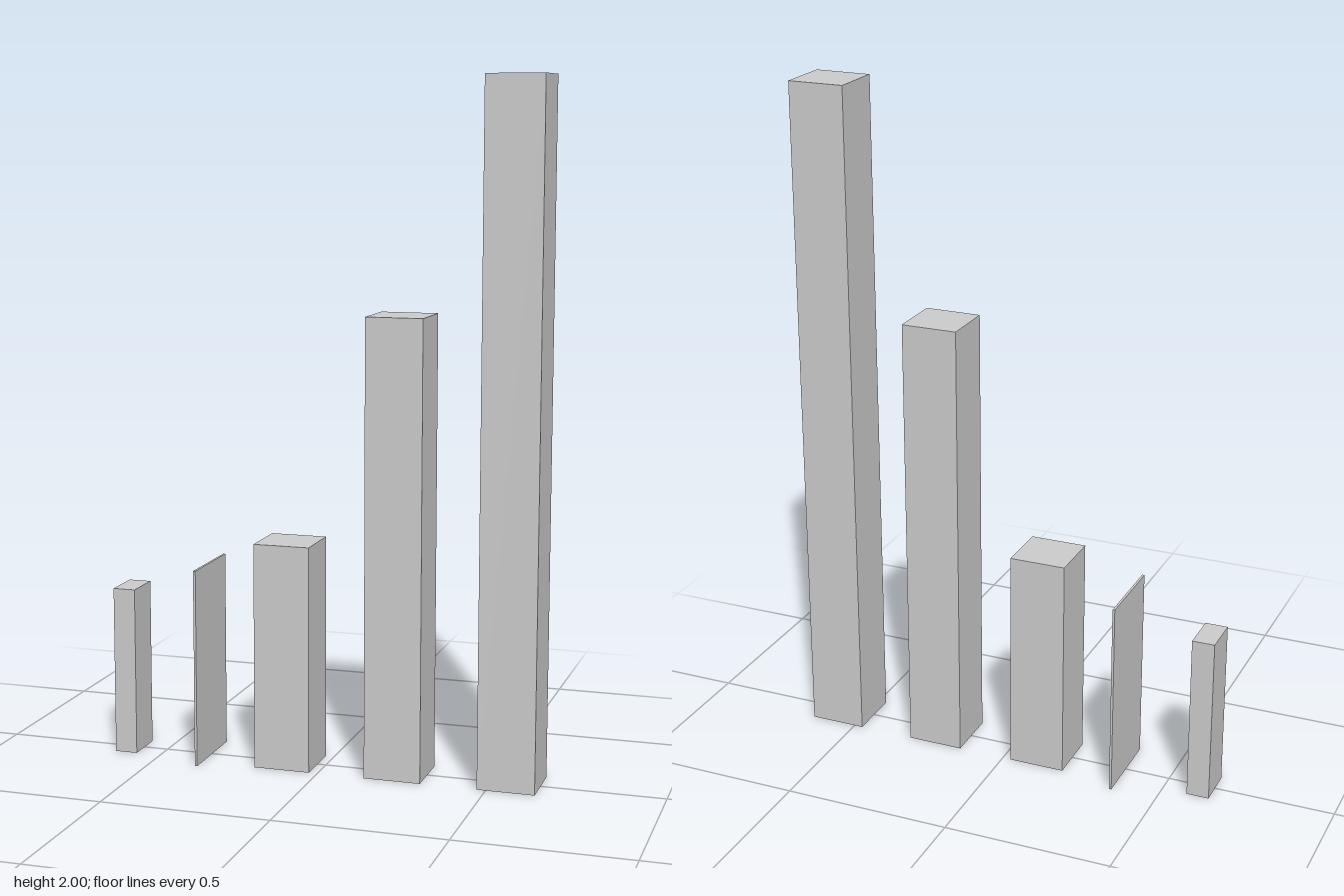
import * as THREE from 'three';

export function createModel() {
  const model = new THREE.Group();
  const material = new THREE.MeshStandardMaterial({ color: 0xcccccc, flatShading: true });

  // Upright block standing on the ground
  function addBlock(name, x, width, height, depth) {
    const mesh = new THREE.Mesh(new THREE.BoxGeometry(width, height, depth), material);
    mesh.name = name;
    mesh.position.set(x, height / 2, 0);
    model.add(mesh);
  }

  // Small post and thin upright panel
  addBlock('smallPost', -0.608, 0.067, 0.5, 0.123);
  addBlock('thinPanel', -0.36, 0.007, 0.585, 0.25);

  // Three square columns, each one unit step taller than the last
  const step = 2 / 3;
  ['shortColumn', 'mediumColumn', 'tallColumn'].forEach((name, i) => {
    addBlock(name, -0.109 + i * step / 2, 0.167, step * (i + 1), 0.167);
  });

  return model;
}
